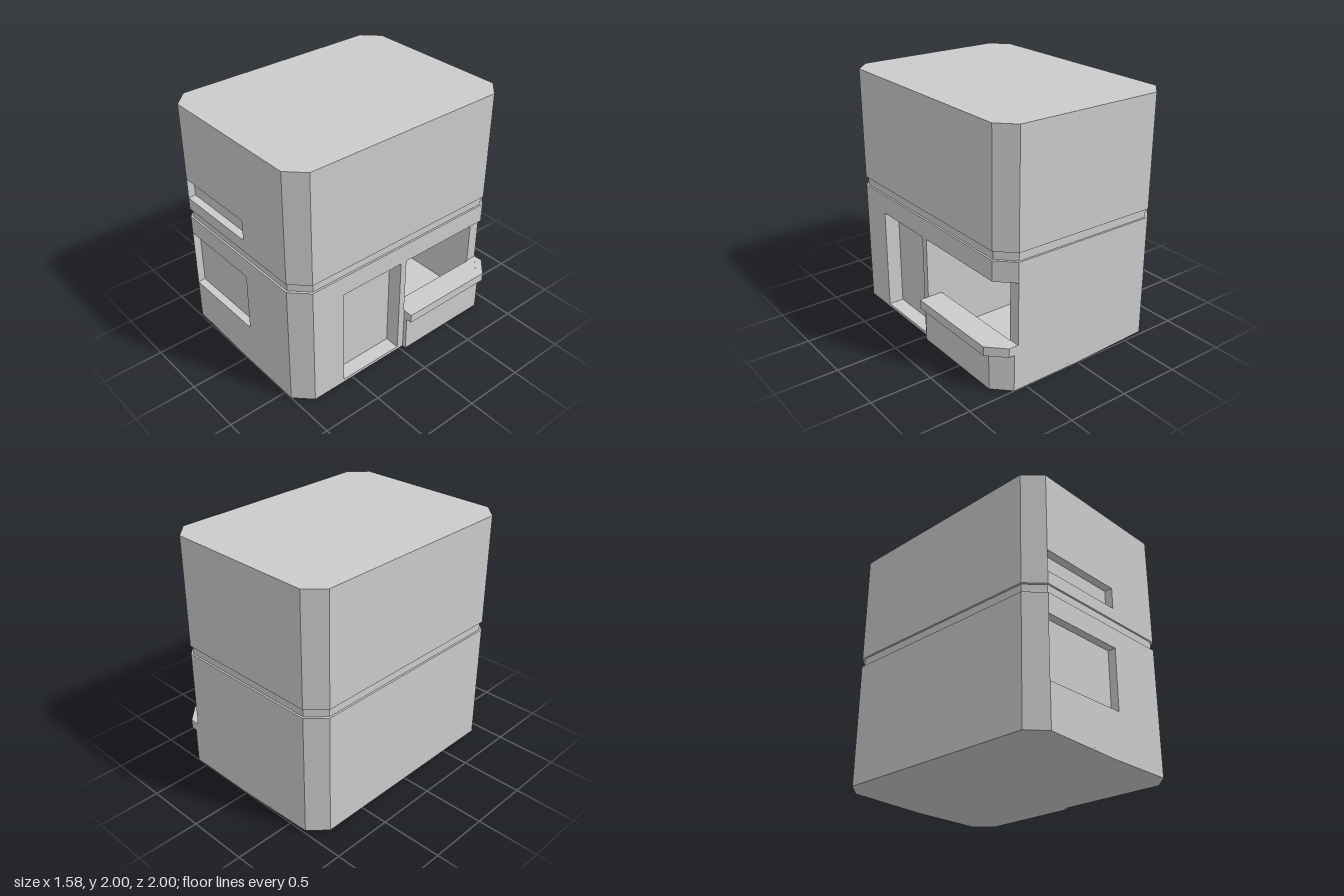
import * as THREE from 'three';

const material = new THREE.MeshStandardMaterial({ color: 0xcccccc, flatShading: true });

// Plan limits of the chamfered block
const L = -0.79, R = 0.705, F = 1, C = 0.13;

// Extrude a plan outline of [x, z] points upward from y0 to y1
function slab(name, points, y0, y1, hole) {
  const toVec = ([x, z]) => new THREE.Vector2(x, -z);
  const shape = new THREE.Shape(points.map(toVec));
  if (hole) shape.holes.push(new THREE.Path(hole.map(toVec)));
  const geometry = new THREE.ExtrudeGeometry(shape, { depth: y1 - y0, bevelEnabled: false });
  geometry.rotateX(-Math.PI / 2).translate(0, y0, 0);
  // The underside rises gently toward the model's right
  const p = geometry.attributes.position;
  for (let i = 0; i < p.count; i++) p.setY(i, Math.max(p.getY(i), -p.getX(i) * 0.038));
  geometry.computeVertexNormals();
  const mesh = new THREE.Mesh(geometry, material);
  mesh.name = name;
  return mesh;
}

const frontNotch = [[-0.665, 0.935], [0.075, 0.935], [0.075, F]];
const doorNotch = [[R, 0.585], [0.58, 0.585], [0.58, 0.02], [R, 0.02]];
const room = [[0.58, -0.035], [-0.6, -0.035], [-0.6, -0.905], [0.58, -0.905]];
const plainCorner = [[R, -F + C], [R - C, -F]];
// The room opens to the side and through the rear corner
const openCorner = [[R, -0.035], [0.58, -0.035], [-0.6, -0.035], [-0.6, -0.905], [R - C, -0.905], [R - C, -F]];

// Chamfered outline with optional notches
function outline({ front = [], door = [], corner = plainCorner } = {}) {
  return [[L, F - C], [L + C, F], ...front, [R - C, F], [R, F - C],
    ...door, ...corner, [L + C, -F], [L, -F + C]];
}

export function createModel() {
  const model = new THREE.Group();
  model.name = 'building';
  const plain = outline();
  const mid = (L + R) / 2;
  const inset = plain.map(([x, z]) => [mid + (x - mid) * 0.98, z * 0.985]);

  // Floor in two halves, meeting where the underside starts to rise
  const lowerFloor = new THREE.Group();
  lowerFloor.name = 'groundStorey';
  lowerFloor.add(
    slab('floorRight', [[L, F - C], [L + C, F], [0, F], [0, -F], [L + C, -F], [L, -F + C]], 0, 0.025),
    slab('floorLeft', [[0, F], [R - C, F], [R, F - C], [R, -F + C], [R - C, -F], [0, -F]], 0, 0.025),
    slab('lowerWalls', outline({ door: doorNotch }), 0.025, 0.37, room),
    slab('windowWalls', outline({ front: frontNotch, door: doorNotch, corner: openCorner }), 0.37, 0.865),
    slab('lintel', plain, 0.865, 1.025),
  );

  // Recessed band and the upper storey with its narrow front window
  const upperFloor = new THREE.Group();
  upperFloor.name = 'upperStorey';
  upperFloor.add(
    slab('groove', inset, 1.025, 1.095),
    slab('upperSill', plain, 1.095, 1.195),
    slab('upperWindowWalls', outline({ front: frontNotch }), 1.195, 1.365),
    slab('upperWalls', plain, 1.365, 2),
  );

  // Service counter wrapping the rear corner
  const counter = new THREE.Group();
  counter.name = 'counter';
  const strip = (w) => [[R, -0.04], [R + w, -0.04], [R + w, -F + C], [R + w - C, -F], [R - C, -F], [R, -F + C]];
  counter.add(
    slab('counterBase', strip(0.033), 0, 0.3),
    slab('counterTop', strip(0.08), 0.3, 0.373),
  );

  model.add(lowerFloor, upperFloor, counter);
  return model;
}
